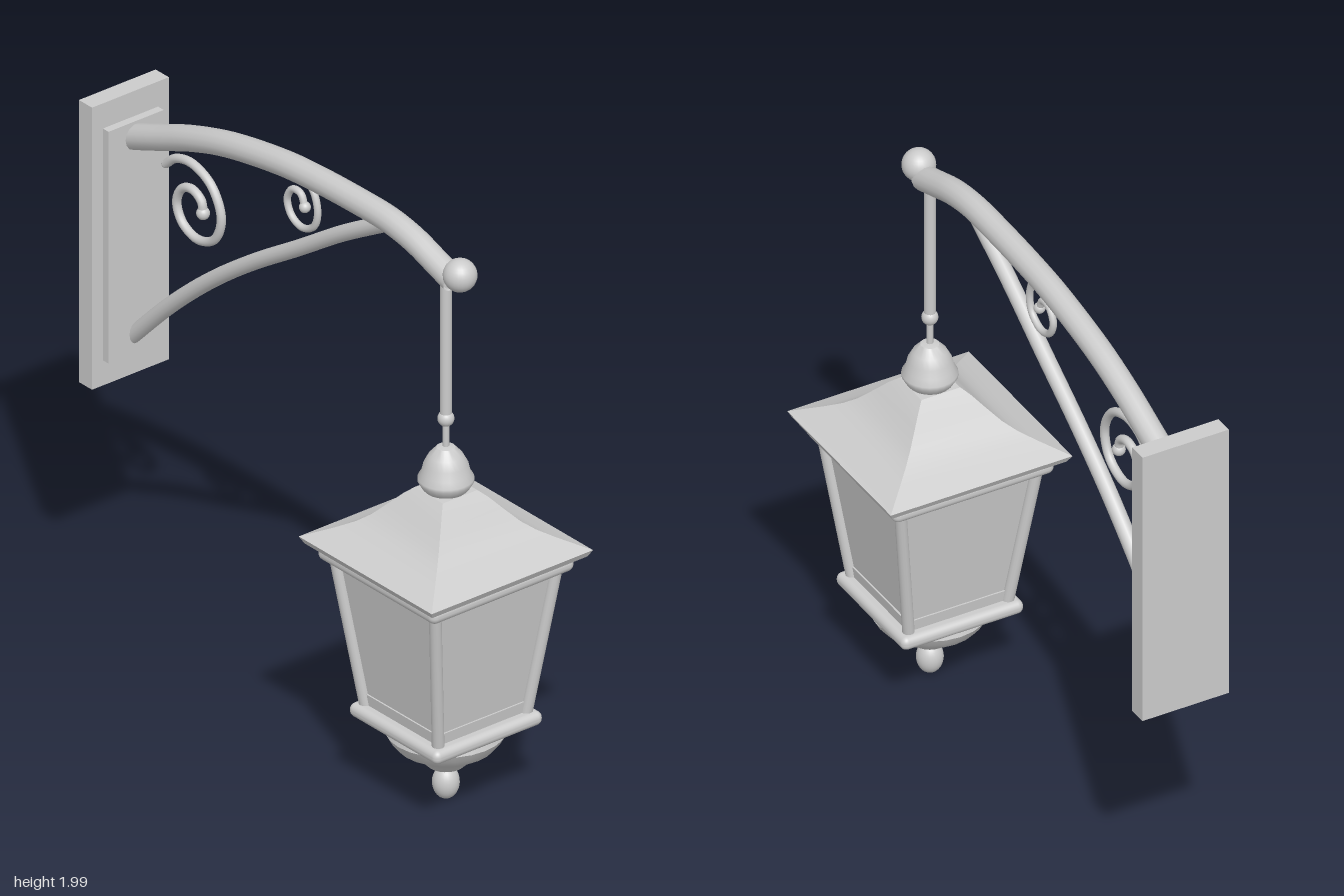
import * as THREE from 'three';
import { toCreasedNormals } from 'three/addons/utils/BufferGeometryUtils.js';
import { RoundedBoxGeometry } from 'three/addons/geometries/RoundedBoxGeometry.js';

const grey = new THREE.MeshStandardMaterial({ color: 0xcccccc, side: THREE.DoubleSide });
const LAMP_Z = 0.65;

export function createModel() {
  const model = new THREE.Group();
  const lantern = new THREE.Group();
  lantern.name = 'lantern';
  lantern.position.z = LAMP_Z;
  model.add(lantern);

  const add = (parent, name, geometry, x = 0, y = 0, z = 0) => {
    const mesh = new THREE.Mesh(geometry, grey);
    mesh.name = name;
    mesh.position.set(x, y, z);
    parent.add(mesh);
    return mesh;
  };
  const box = (w, h, d) => new THREE.BoxGeometry(w, h, d);
  const ball = (r) => new THREE.SphereGeometry(r, 24, 16);

  // Tube through [z, y] points in the x = 0 plane
  const tube = (name, points, radius, segments = 40) => {
    const curve = new THREE.CatmullRomCurve3(points.map(([z, y]) => new THREE.Vector3(0, y, z)));
    return add(model, name, new THREE.TubeGeometry(curve, segments, radius, 14));
  };
  // Round profile, [radius, y] from bottom to top
  const turned = (points) => toCreasedNormals(
    new THREE.LatheGeometry(points.map(([r, y]) => new THREE.Vector2(r, y)), 24), 0.6);
  // Square profile, [half width, y] from bottom to top
  const squared = (points) => toCreasedNormals(
    new THREE.LatheGeometry(points.map(([r, y]) => new THREE.Vector2(r * Math.SQRT2, y)), 4, Math.PI / 4), 0.5);
  // Straight rod between two points
  const rod = (parent, name, a, b, radius) => {
    const dir = b.clone().sub(a);
    const mesh = add(parent, name, new THREE.CylinderGeometry(radius, radius, dir.length(), 14));
    mesh.position.copy(a).addScaledVector(dir, 0.5);
    mesh.quaternion.setFromUnitVectors(new THREE.Vector3(0, 1, 0), dir.normalize());
  };

  // Wall mount
  add(model, 'wallPlate', box(0.312, 1.01, 0.065), 0, 1.365, -0.9375);
  add(model, 'innerPlate', box(0.224, 0.83, 0.03), 0, 1.365, -0.892);

  // Curved arm, brace and end ball
  tube('arm', [[0.69, 1.875], [0.6, 1.905], [0.5, 1.937], [0.38, 1.957], [0.2, 1.959], [0, 1.952], [-0.15, 1.939],
    [-0.42, 1.89], [-0.6, 1.835], [-0.75, 1.775], [-0.9, 1.715]], 0.043, 60);
  add(model, 'armBall', ball(0.055), 0, 1.907, 0.72);
  tube('brace', [[0.36, 1.94], [0.14, 1.81], [-0.07, 1.67], [-0.3, 1.52], [-0.5, 1.373], [-0.7, 1.2], [-0.9, 1.0]], 0.027);

  // Scrolls with a bead at the inner end
  const scroll = (name, points, radius, bead) => {
    tube(name, points, radius, 70);
    const [z, y] = points[points.length - 1];
    add(model, name + 'Bead', ball(bead), 0, y, z);
    const [z0, y0] = points[0];
    add(model, name + 'Tip', ball(radius), 0, y0, z0);
  };
  scroll('largeScroll', [[-0.73, 1.69], [-0.68, 1.73], [-0.6, 1.745], [-0.505, 1.705], [-0.457, 1.61], [-0.49, 1.52],
    [-0.575, 1.485], [-0.65, 1.515], [-0.677, 1.577], [-0.65, 1.635], [-0.6, 1.653], [-0.555, 1.63], [-0.547, 1.59]], 0.015, 0.022);
  scroll('smallScroll', [[-0.04, 1.93], [0, 1.895], [0.018, 1.83], [0, 1.775], [-0.057, 1.747], [-0.11, 1.767],
    [-0.132, 1.82], [-0.105, 1.865], [-0.065, 1.865], [-0.045, 1.825]], 0.012, 0.019);

  // Hanging rod
  add(lantern, 'hangingRod', new THREE.CylinderGeometry(0.019, 0.019, 0.5, 16), 0, 1.625, 0);
  add(lantern, 'rodBead', ball(0.027), 0, 1.365, 0);
  add(lantern, 'thinRod', new THREE.CylinderGeometry(0.011, 0.011, 0.13, 12), 0, 1.3, 0);

  // Roof and its cap
  add(lantern, 'roofCap', turned([[0, 1.09], [0.055, 1.1], [0.075, 1.12], [0.09, 1.145], [0.09, 1.155], [0.078, 1.175],
    [0.071, 1.205], [0.055, 1.235], [0.03, 1.263], [0, 1.27]]));
  add(lantern, 'roof', squared([[0, 0.893], [0.315, 0.893], [0.328, 0.917], [0.245, 0.957], [0.2, 0.982], [0.165, 1.01],
    [0.125, 1.055], [0.095, 1.09], [0.07, 1.113], [0, 1.12]]));

  // Upper and lower frames
  add(lantern, 'upperFrame', new RoundedBoxGeometry(0.582, 0.052, 0.582, 4, 0.024), 0, 0.865, 0);
  add(lantern, 'lowerFrame', new RoundedBoxGeometry(0.44, 0.048, 0.44, 4, 0.022), 0, 0.307, 0);
  add(lantern, 'sill', squared([[0, 0.325], [0.181, 0.325], [0.186, 0.37], [0, 0.37]]));

  // Tapered glass body and corner posts
  add(lantern, 'glass', squared([[0.174, 0.32], [0.242, 0.85]]));
  for (const sx of [-1, 1]) for (const sz of [-1, 1]) {
    rod(lantern, 'cornerPost', new THREE.Vector3(sx * 0.177, 0.31, sz * 0.177),
      new THREE.Vector3(sx * 0.248, 0.86, sz * 0.248), 0.02);
  }

  // Bowl and bottom drop
  add(lantern, 'bowl', turned([[0, 0.13], [0.06, 0.13], [0.085, 0.155], [0.115, 0.18], [0.16, 0.205], [0.18, 0.23],
    [0.194, 0.255], [0.188, 0.275], [0.17, 0.287], [0, 0.287]]));
  add(lantern, 'drop', ball(0.044), 0, 0.065, 0).scale.y = 1.3;
  add(lantern, 'dropNeck', new THREE.CylinderGeometry(0.015, 0.015, 0.04, 12), 0, 0.125, 0);

  return model;
}
